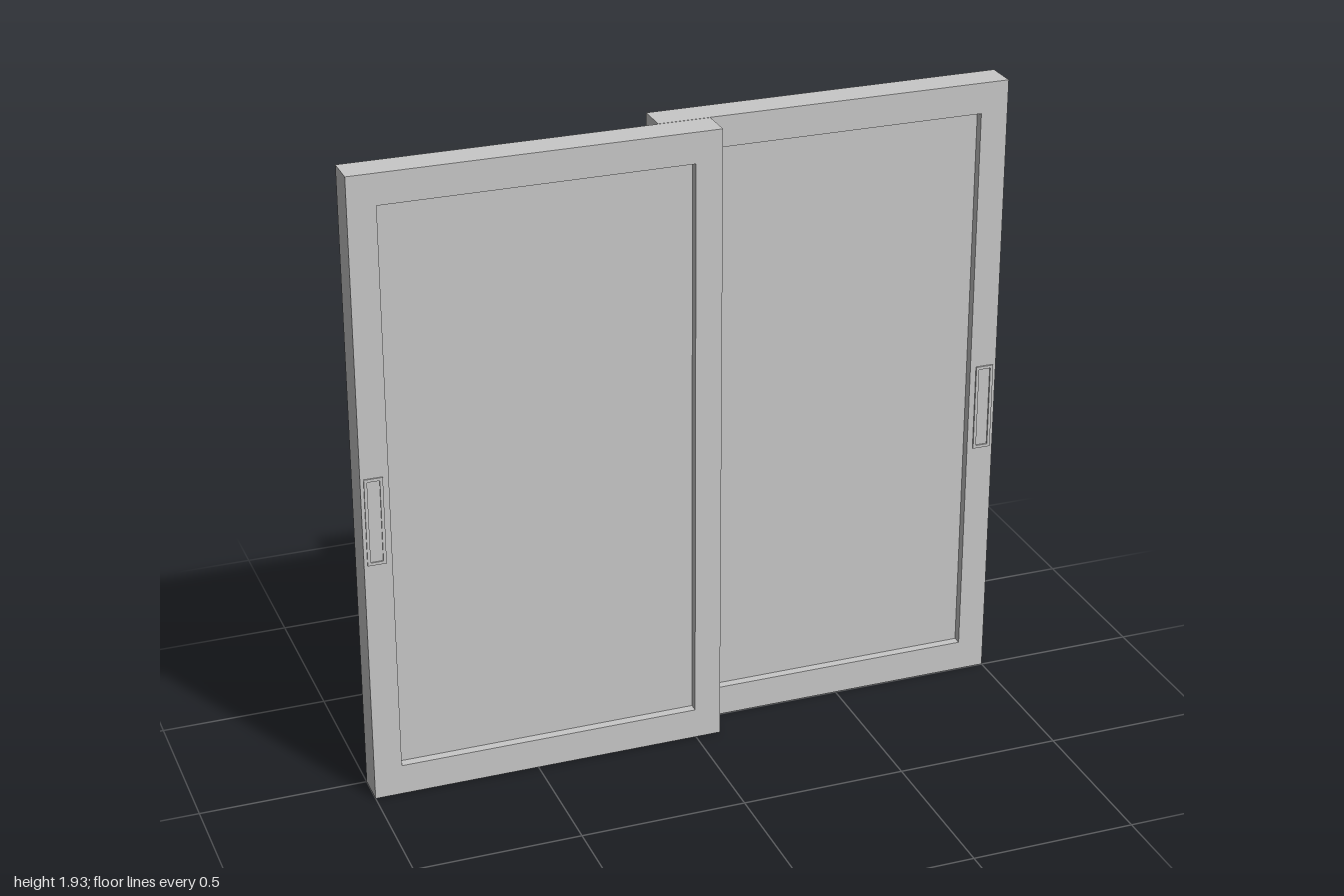
import * as THREE from 'three';

const Z0 = 0.001, Z1 = 0.1; // door back and front faces, leaving a fine gap between doors
const H = 1.932;            // door height
const X0 = -1, X1 = 0.077;  // door edges

// Closed rectangle as point list
const rect = (x0, y0, x1, y1) => [
  new THREE.Vector2(x0, y0), new THREE.Vector2(x1, y0),
  new THREE.Vector2(x1, y1), new THREE.Vector2(x0, y1),
];

// Extruded plate with rectangular openings, from z0 to z1
function plate(name, outer, holes, z0, z1, material) {
  const shape = new THREE.Shape(rect(...outer));
  for (const h of holes) shape.holes.push(new THREE.Path(rect(...h).reverse()));
  const geo = new THREE.ExtrudeGeometry(shape, { depth: z1 - z0, bevelEnabled: false });
  geo.translate(0, 0, z0);
  const mesh = new THREE.Mesh(geo, material);
  mesh.name = name;
  return mesh;
}

const inset = ([x0, y0, x1, y1], d) => [x0 + d, y0 + d, x1 - d, y1 - d];

function slidingDoor(material) {
  const door = new THREE.Group();
  const opening = [-0.917, 0.094, -0.003, 1.839];
  const pull = [-0.99, 0.765, -0.935, 1.035];

  // Frame around the recessed panel
  door.add(plate('frame', [X0, 0, X1, H], [opening], Z0, Z1, material));
  door.add(plate('panel', inset(opening, -0.004), [], 0.028, 0.072, material));
  // Finger pull: thin raised rim on both faces
  door.add(plate('pullRim', pull, [inset(pull, 0.009)], Z0 - 0.005, Z1 + 0.004, material));
  return door;
}

export function createModel() {
  const grey = new THREE.MeshStandardMaterial({ color: 0xc8c8c8 });
  grey.name = 'lightGrey';

  const model = new THREE.Group();
  model.name = 'slidingDoors';
  // The rear door is the front one turned half way round
  ['frontDoor', 'rearDoor'].forEach((name, i) => {
    const door = slidingDoor(grey);
    door.name = name;
    door.rotation.y = i * Math.PI;
    model.add(door);
  });
  return model;
}
